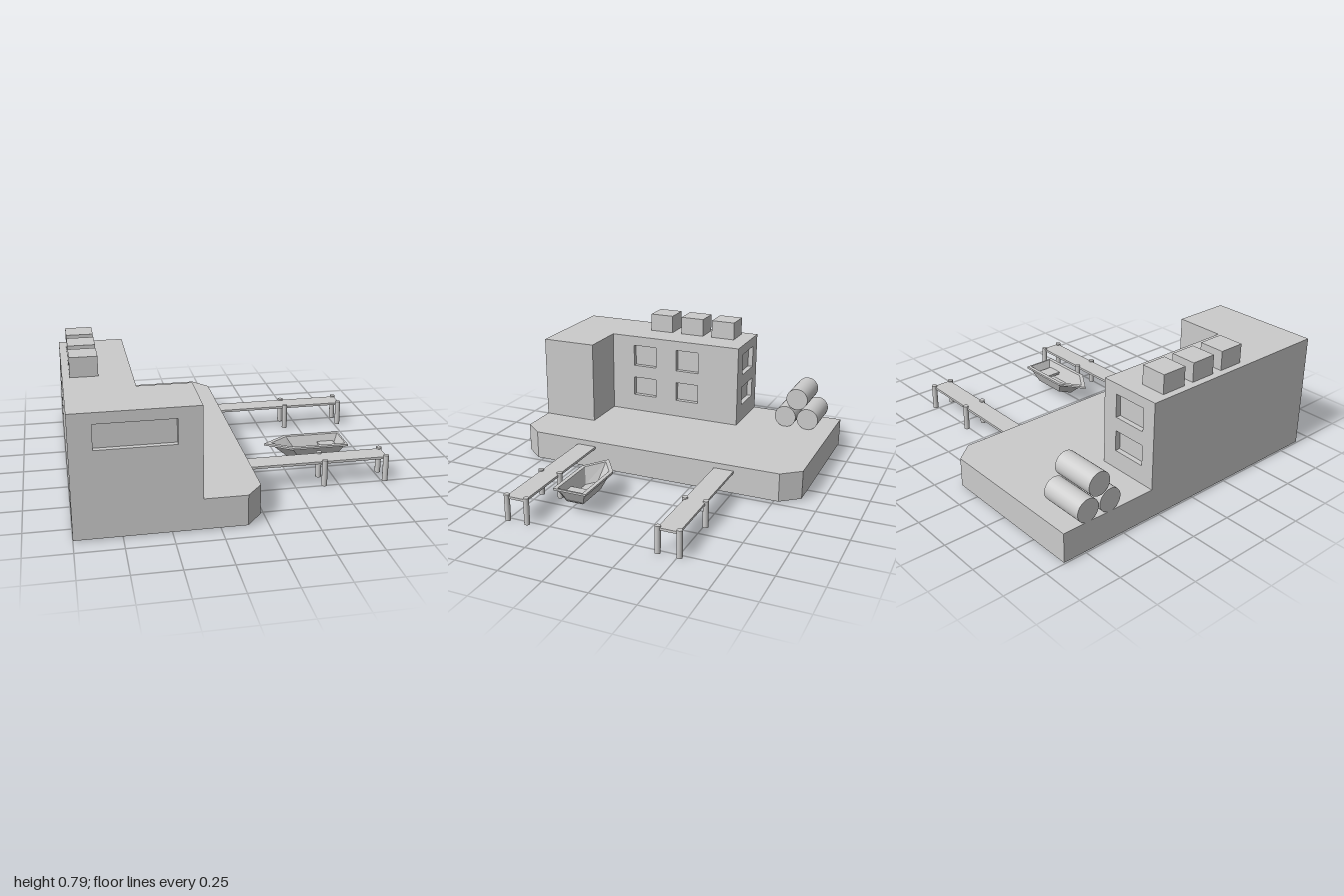
import * as THREE from 'three';

const material = new THREE.MeshStandardMaterial({ color: 0xcccccc });

function add(parent, name, geometry, x = 0, y = 0, z = 0) {
  const mesh = new THREE.Mesh(geometry, material);
  mesh.name = name;
  mesh.position.set(x, y, z);
  parent.add(mesh);
  return mesh;
}

// Box given by its min and max on each axis
function box(parent, name, [x0, x1], [y0, y1], [z0, z1]) {
  return add(parent, name, new THREE.BoxGeometry(x1 - x0, y1 - y0, z1 - z0),
    (x0 + x1) / 2, (y0 + y1) / 2, (z0 + z1) / 2);
}

function rectPoints([x0, x1], [y0, y1]) {
  return [[x0, y0], [x1, y0], [x1, y1], [x0, y1]].map(p => new THREE.Vector2(...p));
}

// Wall panel with window openings, extruded towards +z
function facade(parent, name, span, windows) {
  const shape = new THREE.Shape(rectPoints(span, [WALL_BOTTOM, ROOF]));
  for (const [u, v] of windows) shape.holes.push(new THREE.Path(rectPoints(u, v).reverse()));
  return add(parent, name, new THREE.ExtrudeGeometry(shape, { depth: RECESS, bevelEnabled: false }));
}

const WALL_BOTTOM = 0.178, ROOF = 0.68, RECESS = 0.03;
const LOWER = [0.285, 0.405], UPPER = [0.485, 0.62];

function createQuay() {
  const shape = new THREE.Shape([
    [-1, -0.89], [-0.11, -0.89], [-0.02, -0.78], [-0.02, 0.78], [-0.11, 0.89], [-1, 0.89],
  ].map(p => new THREE.Vector2(...p)));
  const geometry = new THREE.ExtrudeGeometry(shape, { depth: 0.17, bevelEnabled: false });
  geometry.rotateX(-Math.PI / 2);
  const mesh = new THREE.Mesh(geometry, material);
  mesh.name = 'quay';
  mesh.position.y = 0.008;
  return mesh;
}

function createBuilding() {
  const g = new THREE.Group();
  g.name = 'building';
  const walls = [WALL_BOTTOM, ROOF];

  // Solid cores behind the window panels
  box(g, 'mainBlock', [-1, -0.63 - RECESS], walls, [-0.31 + RECESS, 0.89 - RECESS]);
  box(g, 'frontWing', [-0.63 - RECESS, -0.34], walls, [0.55, 0.89 - RECESS]);

  facade(g, 'frontWall', [-1, -0.34], [[[-0.88, -0.465], UPPER]]).position.z = 0.89 - RECESS;
  facade(g, 'backWall', [-1, -0.63], [LOWER, UPPER].map(v => [[-0.92, -0.72], v])).position.z = -0.31;

  const columns = [[-0.4, -0.245], [-0.105, 0.045]];
  const side = facade(g, 'waterfrontWall', [-0.55, 0.31 - RECESS],
    columns.flatMap(u => [LOWER, UPPER].map(v => [u, v])));
  side.rotation.y = Math.PI / 2;
  side.position.x = -0.63 - RECESS;

  // Rooftop units
  for (const z of [-0.14, 0.07, 0.282]) {
    box(g, 'roofUnit', [-0.96, -0.81], [ROOF, 0.79], [z - 0.075, z + 0.075]);
  }
  return g;
}

function createBarrels() {
  const g = new THREE.Group();
  g.name = 'barrelStack';
  for (const [y, z] of [[0.243, -0.595], [0.243, -0.737], [0.365, -0.665]]) {
    add(g, 'barrel', new THREE.CylinderGeometry(0.067, 0.067, 0.26, 32), -0.87, y, z)
      .rotation.z = Math.PI / 2;
  }
  return g;
}

function createPier(z) {
  const g = new THREE.Group();
  g.name = 'pier';
  box(g, 'pierDeck', [-0.03, 0.78], [0.132, 0.146], [z - 0.06, z + 0.06]);
  for (const x of [0.415, 0.773]) {
    for (const side of [-1, 1]) {
      add(g, 'pierPost', new THREE.CylinderGeometry(0.016, 0.016, 0.155, 16), x, 0.0775, z + side * 0.06);
    }
  }
  return g;
}

function createBoat() {
  const g = new THREE.Group();
  g.name = 'boat';

  // Cross-sections from keel up, over the rim and down to the floor:
  // bow x, shoulder x, stern x, half width, height
  const loops = [
    [0.28, 0.34, 0.55, 0.05, 0.06],
    [0.18, 0.285, 0.595, 0.085, 0.143],
    [0.135, 0.28, 0.61, 0.1, 0.143],
    [0.135, 0.28, 0.61, 0.1, 0.155],
    [0.175, 0.285, 0.6, 0.077, 0.155],
    [0.28, 0.34, 0.565, 0.047, 0.072],
  ].map(([bow, shoulder, stern, w, y]) =>
    [[bow, y, 0], [shoulder, y, w], [stern, y, w], [stern, y, -w], [shoulder, y, -w]]);

  const vertices = [];
  const tri = (a, b, c) => vertices.push(...a, ...b, ...c);
  for (let k = 0; k < loops.length - 1; k++) {
    const a = loops[k], b = loops[k + 1];
    for (let i = 0; i < 5; i++) {
      const j = (i + 1) % 5;
      tri(a[i], a[j], b[j]);
      tri(a[i], b[j], b[i]);
    }
  }
  const keel = loops[0], floor = loops[loops.length - 1];
  for (let i = 1; i < 4; i++) {
    tri(keel[0], keel[i + 1], keel[i]);
    tri(floor[0], floor[i], floor[i + 1]);
  }
  const geometry = new THREE.BufferGeometry();
  geometry.setAttribute('position', new THREE.Float32BufferAttribute(vertices, 3));
  geometry.computeVertexNormals();
  add(g, 'hull', geometry);

  box(g, 'sternBench', [0.475, 0.57], [0.1, 0.115], [-0.064, 0.064]);
  g.position.z = 0.205;
  return g;
}

export function createModel() {
  const model = new THREE.Group();
  model.name = 'harbour';
  model.add(createQuay(), createBuilding(), createBarrels(),
    createPier(-0.45), createPier(0.435), createBoat());
  return model;
}
